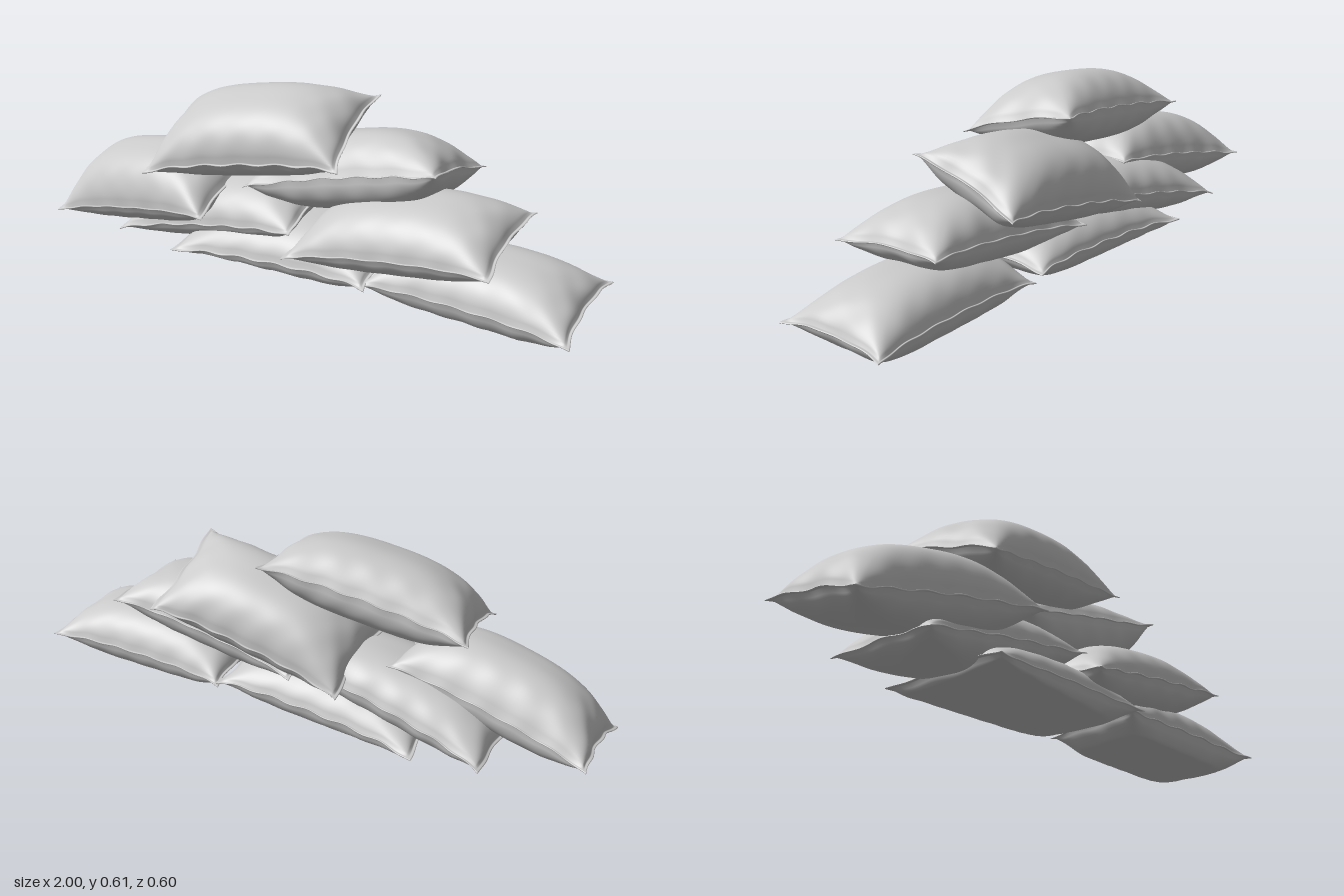
import * as THREE from 'three';
import { mergeGeometries } from 'three/addons/utils/BufferGeometryUtils.js';

const material = new THREE.MeshStandardMaterial({ color: 0xcccccc });
const SEAM = 0.965; // fraction of the bag inside the stitched hem

// Seam corners (x, y, z): back-left, back-right, front-left, front-right,
// then thickness above and below the seam.
const BAGS = {
  leftLeaningBag: [[[-1.0, 0.1, -0.14], [-0.3, 0.26, -0.11], [-0.99, 0.01, 0.26], [-0.28, 0.185, 0.29]], 0.155, 0.1],
  leftMiddleBag: [[[-0.69, 0.05, -0.24], [0.0, 0.22, -0.21], [-0.71, 0.005, 0.24], [0.02, 0.165, 0.19]], 0.115, 0.09],
  bottomMiddleBag: [[[-0.46, 0.02, -0.25], [0.28, 0.08, -0.24], [-0.45, 0.005, 0.26], [0.31, 0.055, 0.19]], 0.105, 0.1],
  bottomRightBag: [[[0.29, 0.05, -0.22], [0.98, 0.08, -0.26], [0.27, 0.05, 0.17], [1.0, 0.06, 0.165]], 0.118, 0.11],
  rightMiddleBag: [[[0.01, 0.15, -0.2], [0.72, 0.28, -0.22], [0.02, 0.105, 0.245], [0.75, 0.23, 0.205]], 0.13, 0.1],
  upperRightBag: [[[-0.2, 0.18, -0.27], [0.49, 0.345, -0.305], [-0.21, 0.27, 0.15], [0.51, 0.47, 0.1]], 0.145, 0.115],
  topBag: [[[-0.58, 0.42, -0.125], [0.12, 0.56, -0.215], [-0.52, 0.305, 0.3], [0.2, 0.445, 0.185]], 0.14, 0.11],
};

// One half of a stuffed bag: side = 1 is the upper sheet, -1 the lower one
function sheet(corners, height, side, phase) {
  const [bl, br, fl, fr] = corners.map((c) => new THREE.Vector3(...c));
  const along = br.clone().add(fr).sub(bl).sub(fl);
  const across = fl.clone().add(fr).sub(bl).sub(br);
  const normal = across.cross(along).normalize();
  const fullness = side > 0 ? 2.7 : 3.4; // the underside is boxier

  const geometry = new THREE.PlaneGeometry(2, 2, 72, 48);
  const position = geometry.attributes.position;
  const p = new THREE.Vector3();
  const q = new THREE.Vector3();
  for (let i = 0; i < position.count; i++) {
    // Rows crowd towards the hem, where the curve is tightest
    const s = Math.sin(position.getX(i) * Math.PI / 2);
    const t = Math.sin(position.getY(i) * Math.PI / 2) * -side;
    const edge = Math.max(Math.abs(s), Math.abs(t));

    // Edges pull inwards between the pointed corners
    const pucker = 0.01 * edge ** 8;
    const u = s * (1 - 0.05 * (1 - t * t) + pucker * Math.sin(t * 9 + phase));
    const v = t * (1 - 0.11 * (1 - s ** 4) + pucker * Math.sin(s * 17 + phase));
    p.lerpVectors(bl, br, (u + 1) / 2);
    q.lerpVectors(fl, fr, (u + 1) / 2);
    p.lerp(q, (v + 1) / 2);

    // Stuffed body with gathers running in from the seam
    const a = Math.min(1, Math.abs(s) / SEAM);
    const b = Math.min(1, Math.abs(t) / SEAM);
    const body = ((1 - a ** fullness) * (1 - b ** fullness)) ** 0.58;
    const gather = 1 + 0.09 * edge ** 6 * Math.sin(s * 19 + phase) * Math.cos(t * 9 + phase);
    const hem = edge < 0.999 ? 0.002 : 0;

    // Wavy hem, arched a little in the middle of each side
    const wave = edge ** 8 * 0.003 * (Math.sin(s * 17 + phase * 2) + Math.sin(t * 7 + phase));
    const arch = 0.014 * (1 - s * s * t * t);
    p.addScaledVector(normal, side * (height * body * gather + hem) + wave + arch);
    position.setXYZ(i, p.x, Math.max(p.y, side > 0 ? 0.002 : 0), p.z);
  }
  geometry.computeVertexNormals();
  return geometry;
}

export function createModel() {
  const group = new THREE.Group();
  group.name = 'sandbagPile';
  Object.entries(BAGS).forEach(([name, [corners, above, below]], i) => {
    const phase = i * 1.7;
    const geometry = mergeGeometries([
      sheet(corners, above, 1, phase),
      sheet(corners, below, -1, phase),
    ]);
    const bag = new THREE.Mesh(geometry, material);
    bag.name = name;
    group.add(bag);
  });
  return group;
}
